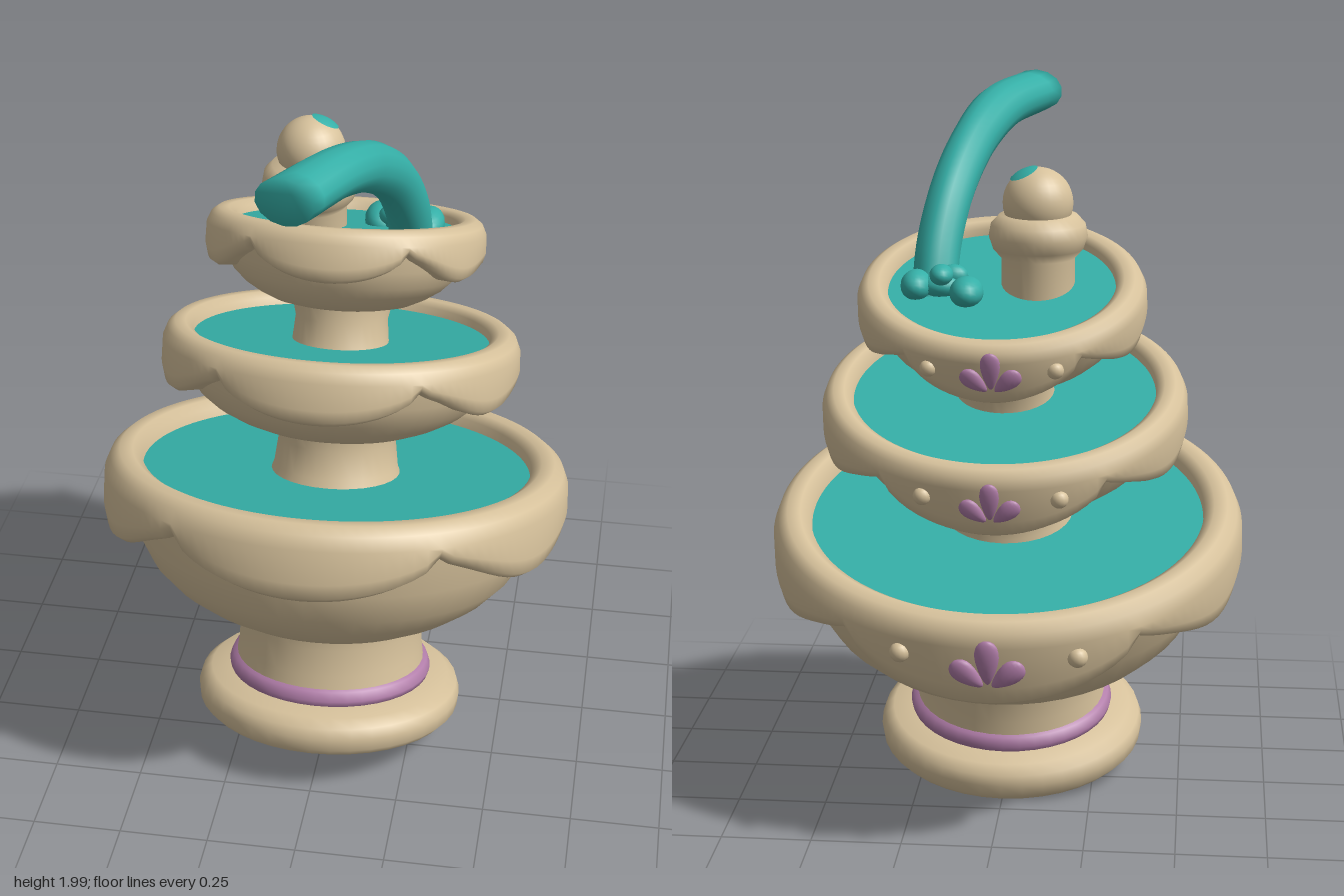
import * as THREE from 'three';
import { mergeVertices } from 'three/addons/utils/BufferGeometryUtils.js';

const mat = (name, color) => Object.assign(new THREE.MeshStandardMaterial({ color }), { name });

export function createModel() {
  const stone = mat('stone', 0xd7c29c);
  const water = mat('water', 0x35afa7);
  const pink = mat('pink', 0xb27eaa);
  const model = new THREE.Group();
  model.name = 'tieredFountain';

  const add = (parent, name, geo, material, pos = [0, 0, 0]) => {
    const m = new THREE.Mesh(geo, material);
    m.name = name;
    m.position.set(...pos);
    parent.add(m);
    return m;
  };
  const group = (name, y, z, tilt, depthScale = 1) => {
    const g = new THREE.Group();
    g.name = name;
    g.position.set(0, y, z);
    g.rotation.x = tilt;
    g.scale.z = depthScale;
    model.add(g);
    return g;
  };
  const lathe = (pts, seg = 40) =>
    new THREE.LatheGeometry(pts.map(([x, y]) => new THREE.Vector2(x, y)), seg);
  const smooth = (geo) => {
    geo.deleteAttribute('normal');
    geo.deleteAttribute('uv');
    const g = mergeVertices(geo, 1e-5);
    g.computeVertexNormals();
    return g;
  };

  // Scalloped hem: front, side and back lobes meeting in upward cusps
  const hemDepth = (phi) => {
    const a = Math.abs(Math.atan2(Math.sin(phi), Math.cos(phi)));
    const c1 = 0.58, c2 = 2.5;
    let t, amp;
    if (a < c1) { t = Math.cos(a / c1 * Math.PI / 2); amp = 0.125; }
    else if (a < c2) {
      const u = (a - c1) / (c2 - c1);
      t = Math.sin(u * Math.PI);
      amp = 0.15 * (0.8 - 0.2 * Math.cos(4 * Math.PI * u));
    } else { t = Math.cos((Math.PI - a) / (Math.PI - c2) * Math.PI / 2); amp = 0.165; }
    return 0.09 + amp * Math.sqrt(Math.max(t, 0));
  };

  // Thick rolled rim whose lower edge follows the hem
  const rimGeometry = (R, inner, s) => {
    const w = R - inner;
    const profile = [
      [inner - 0.02, -1], [R - 0.3 * w, -1], [R - 0.08 * w, -0.92], [R, -0.72],
      [R - 0.02 * w, -0.06 * s], [R - 0.15 * w, -0.022 * s], [R - 0.38 * w, 0],
      [inner + 0.3 * w, 0], [inner + 0.06 * w, -0.02 * s], [inner, -0.09 * s],
    ];
    const seg = 108, geo = lathe(profile, seg), p = geo.attributes.position;
    for (let i = 0; i <= seg; i++) {
      const d = hemDepth(i / seg * Math.PI * 2) * s;
      for (let j = 0; j < 4; j++) {
        const k = i * profile.length + j;
        p.setY(k, p.getY(k) * d);
      }
    }
    return smooth(geo);
  };

  // Pedestal
  const base = group('pedestal', 0.074, 0.157, -0.2, 0.945);
  add(base, 'foot', lathe([[0, 0], [0.365, 0], [0.365, 0], [0.383, 0.02], [0.387, 0.055],
    [0.378, 0.085], [0.35, 0.108], [0.28, 0.118]]), stone);
  add(base, 'footBand', lathe([[0.27, 0.108], [0.292, 0.112], [0.297, 0.132], [0.287, 0.158], [0.26, 0.166]]), pink);
  add(base, 'neck', lathe([[0.278, 0.14], [0.27, 0.2], [0.266, 0.28], [0.276, 0.36], [0.3, 0.41]]), stone);

  // Bowls: origin at the centre of the rim's top
  const tiers = [
    { name: 'lowerBowl', y: 0.85, z: -0.01, tilt: -0.247, flat: 0.99, R: 0.668, inner: 0.552, depth: 0.48, s: 1, dot: 0.235 },
    { name: 'middleBowl', y: 1.217, z: -0.097, tilt: -0.28, flat: 0.97, R: 0.507, inner: 0.415, depth: 0.29, s: 0.78, dot: 0.18, stem: 0.168 },
    { name: 'upperBowl', y: 1.527, z: -0.185, tilt: -0.335, flat: 0.95, R: 0.392, inner: 0.304, depth: 0.255, s: 0.68, dot: 0.165, stem: 0.13 },
  ];
  for (const t of tiers) {
    const g = group(t.name, t.y, t.z, t.tilt, t.flat);
    const wall = [[0, 1], [0.39, 1], [0.5, 0.96], [0.61, 0.88], [0.71, 0.78], [0.79, 0.66], [0.86, 0.47], [0.9, 0.22]];
    add(g, 'bowl', lathe(wall.map(([r, d]) => [r * t.R, -d * t.depth]), 48), stone);
    add(g, 'rim', rimGeometry(t.R, t.inner, t.s), stone);
    const pool = new THREE.CircleGeometry(t.inner + 0.01, 48).rotateX(-Math.PI / 2);
    add(g, 'pool', pool, water, [0, -0.048 * t.s, 0]);
    if (t.stem) {
      add(g, 'stem', lathe([[t.stem * 1.25, -t.depth - 0.2], [t.stem * 1.06, -t.depth - 0.12],
        [t.stem, -t.depth - 0.04], [t.stem * 1.1, -t.depth + 0.02]], 32), stone);
    }

    // Flower of three petals on the back lobe, with a stud on each side
    const flower = new THREE.Group();
    flower.name = 'flower';
    flower.position.set(0, -0.177 * t.s - 0.01, -t.R + 0.004);
    flower.scale.setScalar(Math.max(t.s, 0.8));
    g.add(flower);
    for (const [angle, len] of [[0, 0.068], [0.85, 0.054], [-0.85, 0.054]]) {
      const petal = new THREE.SphereGeometry(1, 16, 12);
      const p = petal.attributes.position;
      for (let i = 0; i < p.count; i++) p.setX(i, p.getX(i) * (0.8 + 0.35 * p.getY(i)));
      petal.scale(0.038, len, 0.02).translate(0, len + 0.016, 0).rotateZ(angle);
      add(flower, 'petal', smooth(petal), pink);
    }
    for (const side of [-1, 1]) {
      const x = side * t.dot;
      add(g, 'stud', new THREE.SphereGeometry(0.028 * Math.sqrt(t.s), 14, 10), stone,
        [x, -0.085 * t.s - 0.02, -Math.sqrt(t.R * t.R - x * x) + 0.004]);
    }
  }

  // Finial with a coloured spot
  const finial = group('finial', 0, 0, 0);
  add(finial, 'finialCollar', lathe([[0.1, 1.42], [0.1, 1.575], [0.122, 1.6], [0.134, 1.635],
    [0.128, 1.667], [0.105, 1.692], [0.06, 1.705]], 32), stone, [-0.095, 0, -0.135]);
  add(finial, 'finialBall', new THREE.SphereGeometry(0.095, 28, 20), stone, [-0.095, 1.726, -0.15]);
  const spot = add(finial, 'finialSpot', new THREE.SphereGeometry(0.099, 20, 6, 0, Math.PI * 2, 0, 0.42),
    water, [-0.095, 1.726, -0.15]);
  spot.rotation.set(-0.2, 0, -0.42);

  // Arching water jet, flared and hollowed at its tip
  const path = new THREE.CatmullRomCurve3([
    [0.185, 1.44, -0.17], [0.18, 1.59, -0.1], [0.155, 1.725, 0], [0.113, 1.838, 0.16],
    [0.056, 1.912, 0.36], [-0.035, 1.938, 0.595],
  ].map((v) => new THREE.Vector3(...v)));
  const n = 36, sides = 14;
  const jet = new THREE.TubeGeometry(path, n, 0.065, sides);
  const jp = jet.attributes.position, v = new THREE.Vector3();
  const end = path.getPointAt(1);
  for (let i = 0; i <= n; i++) {
    const u = i / n, c = path.getPointAt(u);
    const flare = Math.max(0, u - 0.55) / 0.45;
    for (let j = 0; j <= sides; j++) {
      const k = i * (sides + 1) + j;
      v.fromBufferAttribute(jp, k).sub(c);
      v.x *= 0.95 + 0.35 * flare;
      v.y *= 1.05 - 0.13 * flare;
      if (i === n) v.set(0.01, 0, -0.045).add(end);
      else v.add(i === n - 1 ? end : c);
      jp.setXYZ(k, v.x, v.y, v.z);
    }
  }
  add(model, 'waterJet', smooth(jet), water);

  // Splash around the foot of the jet
  for (const [x, y, z, rx, ry, rz] of [
    [0.09, 1.495, -0.23, 0.046, 0.042, 0.07], [0.228, 1.505, -0.195, 0.044, 0.042, 0.07],
    [0.155, 1.545, -0.25, 0.032, 0.028, 0.046], [0.13, 1.53, -0.18, 0.04, 0.03, 0.03],
    [0.165, 1.505, -0.19, 0.06, 0.035, 0.05],
  ]) {
    add(model, 'splashDrop', new THREE.SphereGeometry(1, 16, 12).scale(rx, ry, rz), water, [x, y, z]);
  }
  return model;
}
